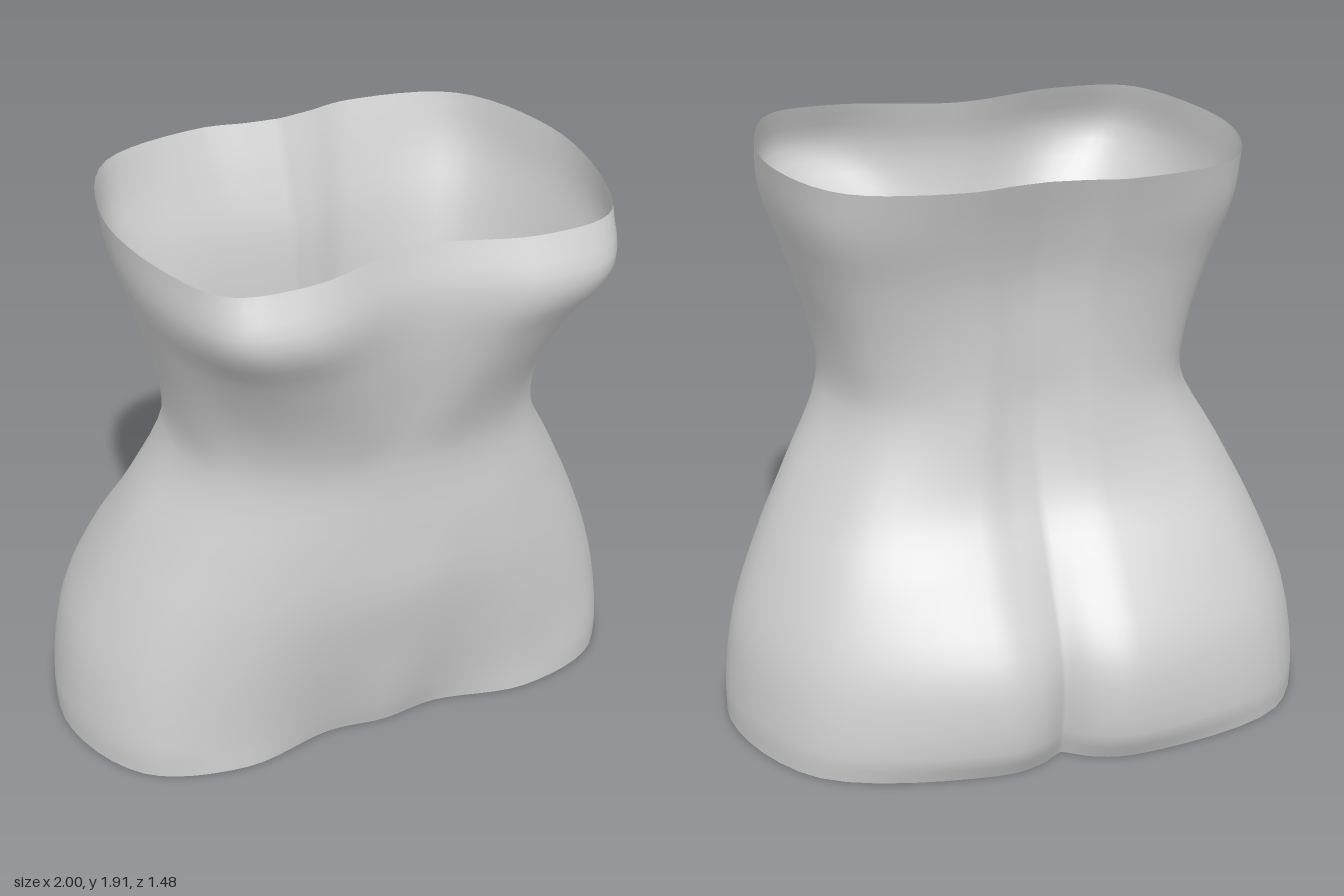
import * as THREE from 'three';

// Half cross-sections from hem to top rim:
// y, front centre z, then x,z of front swell, front corner, flank, side,
// back corner, back swell, and last the back centre z.
const SECTIONS = [
  [0.00, 0.405, 0.20, 0.385, 0.53, 0.445, 0.86, 0.33, 1.00, -0.06, 0.80, -0.53, 0.24, -0.69, -0.60],
  [0.10, 0.435, 0.21, 0.415, 0.53, 0.445, 0.86, 0.335, 1.00, -0.06, 0.80, -0.54, 0.23, -0.735, -0.635],
  [0.35, 0.485, 0.22, 0.475, 0.55, 0.455, 0.84, 0.31, 0.965, -0.05, 0.78, -0.50, 0.24, -0.72, -0.64],
  [0.60, 0.525, 0.22, 0.515, 0.52, 0.46, 0.77, 0.30, 0.87, -0.03, 0.69, -0.42, 0.24, -0.56, -0.50],
  [0.82, 0.52, 0.22, 0.515, 0.48, 0.45, 0.68, 0.30, 0.765, 0.01, 0.60, -0.31, 0.22, -0.41, -0.37],
  [1.10, 0.515, 0.20, 0.505, 0.42, 0.44, 0.57, 0.32, 0.62, 0.05, 0.51, -0.225, 0.20, -0.345, -0.30],
  [1.30, 0.55, 0.20, 0.56, 0.45, 0.48, 0.60, 0.32, 0.63, 0.05, 0.53, -0.23, 0.20, -0.335, -0.30],
  [1.55, 0.60, 0.30, 0.65, 0.53, 0.59, 0.67, 0.38, 0.70, 0.03, 0.58, -0.28, 0.22, -0.36, -0.315],
  [1.75, 0.615, 0.40, 0.735, 0.62, 0.69, 0.735, 0.45, 0.76, 0.02, 0.63, -0.34, 0.25, -0.42, -0.375],
  [1.912, 0.575, 0.38, 0.67, 0.63, 0.635, 0.74, 0.42, 0.785, 0.00, 0.63, -0.38, 0.27, -0.48, -0.44],
];
const ROWS = 36;
const COLS = 96;

// Control points of one section, from front centre round the left to back centre
function halfSection([y, front, ...rest]) {
  const back = rest.pop();
  const points = [new THREE.Vector3(0, y, front)];
  for (let i = 0; i < rest.length; i += 2) points.push(new THREE.Vector3(rest[i], y, rest[i + 1]));
  // Round cheeks with a narrow cleft low down, a soft spine groove higher up
  const swell = points[points.length - 1];
  const fullness = THREE.MathUtils.lerp(0.72, 0.35, THREE.MathUtils.smoothstep(y, 0.4, 1.0));
  points.push(new THREE.Vector3(swell.x * 0.42, y, THREE.MathUtils.lerp(back, swell.z, fullness)));
  points.push(new THREE.Vector3(0, y, back));
  return points;
}

function torsoGeometry() {
  // Smooth guide lines running up the body through matching points
  const halves = SECTIONS.map(halfSection);
  const guides = halves[0].map((_, k) => new THREE.CatmullRomCurve3(halves.map((h) => h[k])));
  const positions = [];
  const indices = [];
  for (let j = 0; j <= ROWS; j++) {
    // Mirrored ring, left open at the back so that the centre crease stays sharp
    const half = guides.map((g) => g.getPoint(j / ROWS));
    const mirrored = half.slice(1).reverse().map((p) => new THREE.Vector3(-p.x, p.y, p.z));
    const ring = new THREE.CatmullRomCurve3([...mirrored, ...half]);
    for (let i = 0; i < COLS; i++) {
      const p = ring.getPoint(i / COLS);
      positions.push(p.x, p.y, p.z);
      if (j === ROWS) continue;
      const a = j * COLS + i;
      const b = j * COLS + (i + 1) % COLS;
      indices.push(a, b, b + COLS, a, b + COLS, a + COLS);
    }
  }
  const geometry = new THREE.BufferGeometry();
  geometry.setAttribute('position', new THREE.Float32BufferAttribute(positions, 3));
  geometry.setIndex(indices);
  geometry.computeVertexNormals();
  return geometry;
}

export function createModel() {
  const group = new THREE.Group();
  group.name = 'torsoForm';
  // Open shell, visible from inside and outside
  const grey = new THREE.MeshStandardMaterial({ color: 0xd0d0d0, side: THREE.DoubleSide });
  grey.name = 'light grey';
  const shell = new THREE.Mesh(torsoGeometry(), grey);
  shell.name = 'torsoShell';
  group.add(shell);
  return group;
}
